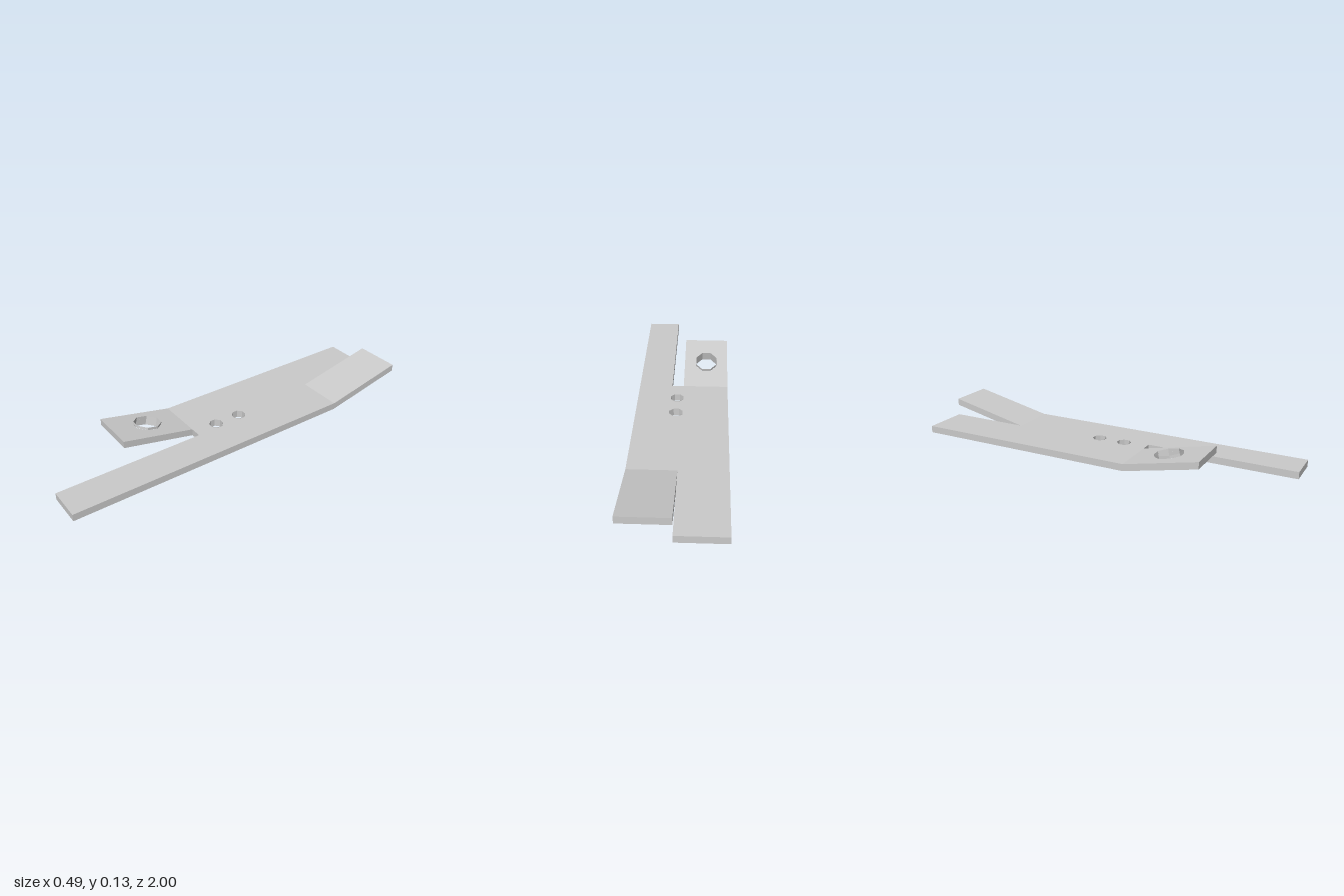
import * as THREE from 'three';

const T = 0.037;      // plate thickness
const W = 0.243;      // half width
const SLOPE = 0.218;  // rise of the bent tabs
const BEND_F = 0.21, BEND_B = -0.56, TAB_END = 0.605;

const material = new THREE.MeshStandardMaterial({
  color: 0xcccccc, flatShading: true, side: THREE.DoubleSide,
});

// Octagon with flats facing the axes; rx and rz are the distances to the flats
function octagon(cx, cz, rx, rz) {
  const k = 1 / Math.cos(Math.PI / 8);
  return Array.from({ length: 8 }, (_, i) => {
    const a = (i + 0.5) * Math.PI / 4;
    return [cx + rx * k * Math.cos(a), cz + rz * k * Math.sin(a)];
  });
}

// Flat plate from an outline in x, z with holes, lying on y = 0
function plate(outline, holes = []) {
  const pts = list => list.map(([x, z]) => new THREE.Vector2(x, -z));
  const shape = new THREE.Shape(pts(outline));
  for (const h of holes) shape.holes.push(new THREE.Path(pts(h)));
  const g = new THREE.ExtrudeGeometry(shape, { depth: T, bevelEnabled: false });
  return g.rotateX(-Math.PI / 2);
}

// Shear a tab upwards from its bend line; hole walls lean square to the slope
function bend(g, z0, z1) {
  const p = g.attributes.position, dir = Math.sign(z1 - z0);
  for (let i = 0; i < p.count; i++) {
    let z = p.getZ(i);
    const y = p.getY(i);
    if (Math.abs(z - z0) > 0.01 && Math.abs(z - z1) > 0.01) z -= dir * SLOPE * y;
    p.setXYZ(i, p.getX(i), y + SLOPE * Math.abs(z - z0), z);
  }
  g.computeVertexNormals();
  return g;
}

// Thin octagonal lip around a hole
function rim(name, rx, rz, height) {
  const k = 1 / Math.cos(Math.PI / 8);
  const g = new THREE.CylinderGeometry(1, 1, height, 8, 1, true, Math.PI / 8);
  g.scale(rx * k, 1, rz * k);
  return part(name, g);
}

function part(name, geometry) {
  const m = new THREE.Mesh(geometry, material);
  m.name = name;
  return m;
}

export function createModel() {
  const group = new THREE.Group();
  group.name = 'bentBlade';

  // Main flat plate with the front slot and two bolt holes
  const boltZ = [-0.065, 0.08], boltX = 0.03, boltR = 0.034;
  group.add(part('mainPlate', plate(
    [[-W, -1], [0, -1], [0, BEND_B], [W, BEND_B], [W, 1], [0.063, 1], [0.063, BEND_F], [-W, BEND_F]],
    boltZ.map(z => octagon(boltX, z, boltR, boltR)))));
  for (const z of boltZ) {
    const r = rim('boltHoleRim', boltR, boltR, 0.003);
    r.position.set(boltX, T + 0.0015, z);
    group.add(r);
  }

  // Front tab, bent upwards, with a large hole
  const hx = -0.1225, hz = 0.414, rx = 0.0575, rz = 0.07;
  group.add(part('frontTab', bend(plate(
    [[-W, BEND_F], [0, BEND_F], [0, TAB_END], [-W, TAB_END]],
    [octagon(hx, hz, rx, rz)]), BEND_F, TAB_END)));
  const lip = rim('frontTabHoleRim', rx, rz, 0.014);
  const topZ = hz - SLOPE * T;
  lip.position.set(hx, T + SLOPE * (topZ - BEND_F) + 0.007, topZ - 0.0015);
  lip.rotation.x = -Math.atan(SLOPE);
  group.add(lip);

  // Back tab, bent upwards on the other half
  group.add(part('backTab', bend(plate(
    [[0, BEND_B], [W, BEND_B], [W, -1], [0, -1]]), BEND_B, -1).scale(1, 1, 1)));

  return group;
}
